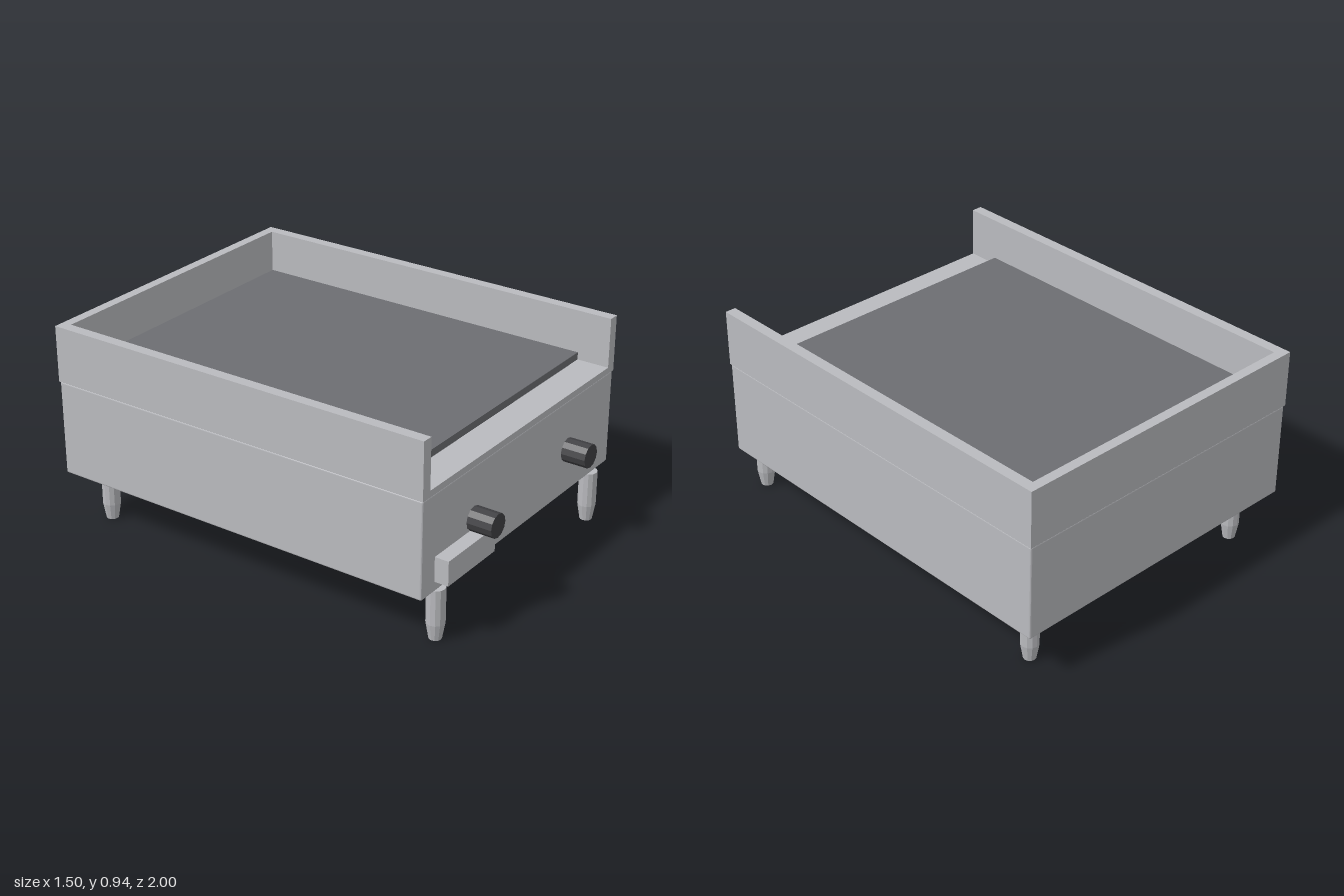
import * as THREE from 'three';
import { RoundedBoxGeometry } from 'three/addons/geometries/RoundedBoxGeometry.js';

const material = (name, color) => {
  const m = new THREE.MeshStandardMaterial({ color, flatShading: true });
  m.name = name;
  return m;
};

export function createModel() {
  const group = new THREE.Group();
  const steel = material('brushed steel', 0xbabbbf);
  const iron = material('griddle iron', 0x6d6e72);
  const black = material('black plastic', 0x414144);

  const add = (name, geometry, mat, x = 0, y = 0, z = 0) => {
    const mesh = new THREE.Mesh(geometry, mat);
    mesh.name = name;
    mesh.position.set(x, y, z);
    group.add(mesh);
    return mesh;
  };
  // Box given by its extents on each axis
  const box = (name, mat, x0, x1, y0, y1, z0, z1) =>
    add(name, new THREE.BoxGeometry(x1 - x0, y1 - y0, z1 - z0), mat,
      (x0 + x1) / 2, (y0 + y1) / 2, (z0 + z1) / 2);

  // Cabinet with softened edges
  add('cabinet', new RoundedBoxGeometry(1.494, 0.442, 1.882, 2, 0.008), steel, 0, 0.459, -0.056);

  // Splash guard: U-shaped wall, open at the front
  const guard = new THREE.Shape([
    [-0.75, -0.887], [-0.7, -0.887], [-0.7, 0.955], [0.7, 0.955],
    [0.7, -0.887], [0.75, -0.887], [0.75, 1], [-0.75, 1],
  ].map(([x, y]) => new THREE.Vector2(x, y)));
  const guardGeometry = new THREE.ExtrudeGeometry(guard, { depth: 0.26, bevelEnabled: false });
  guardGeometry.rotateX(-Math.PI / 2);
  add('splashGuard', guardGeometry, steel, 0, 0.68, 0);

  // Tray floor and cooking plate
  box('trayFloor', steel, -0.7, 0.7, 0.68, 0.71, -0.955, 0.887);
  box('cookingPlate', iron, -0.7, 0.7, 0.71, 0.744, -0.955, 0.735);

  // Grease drawer front
  box('greaseDrawer', steel, -0.655, -0.31, 0.285, 0.397, 0.88, 0.95);

  // Control knobs
  for (const x of [-0.374, 0.374]) {
    const knob = new THREE.CylinderGeometry(0.054, 0.054, 0.12, 12);
    knob.rotateX(Math.PI / 2);
    add('controlKnob', knob, black, x, 0.446, 0.94);
  }

  // Tapered feet
  const profile = [[0, 0], [0.028, 0], [0.041, 0.075], [0.041, 0.238], [0, 0.238]]
    .map(([r, y]) => new THREE.Vector2(r, y));
  for (const x of [-0.613, 0.613]) {
    for (const z of [-0.862, 0.868]) {
      add('foot', new THREE.LatheGeometry(profile, 12), steel, x, 0, z);
    }
  }
  return group;
}
